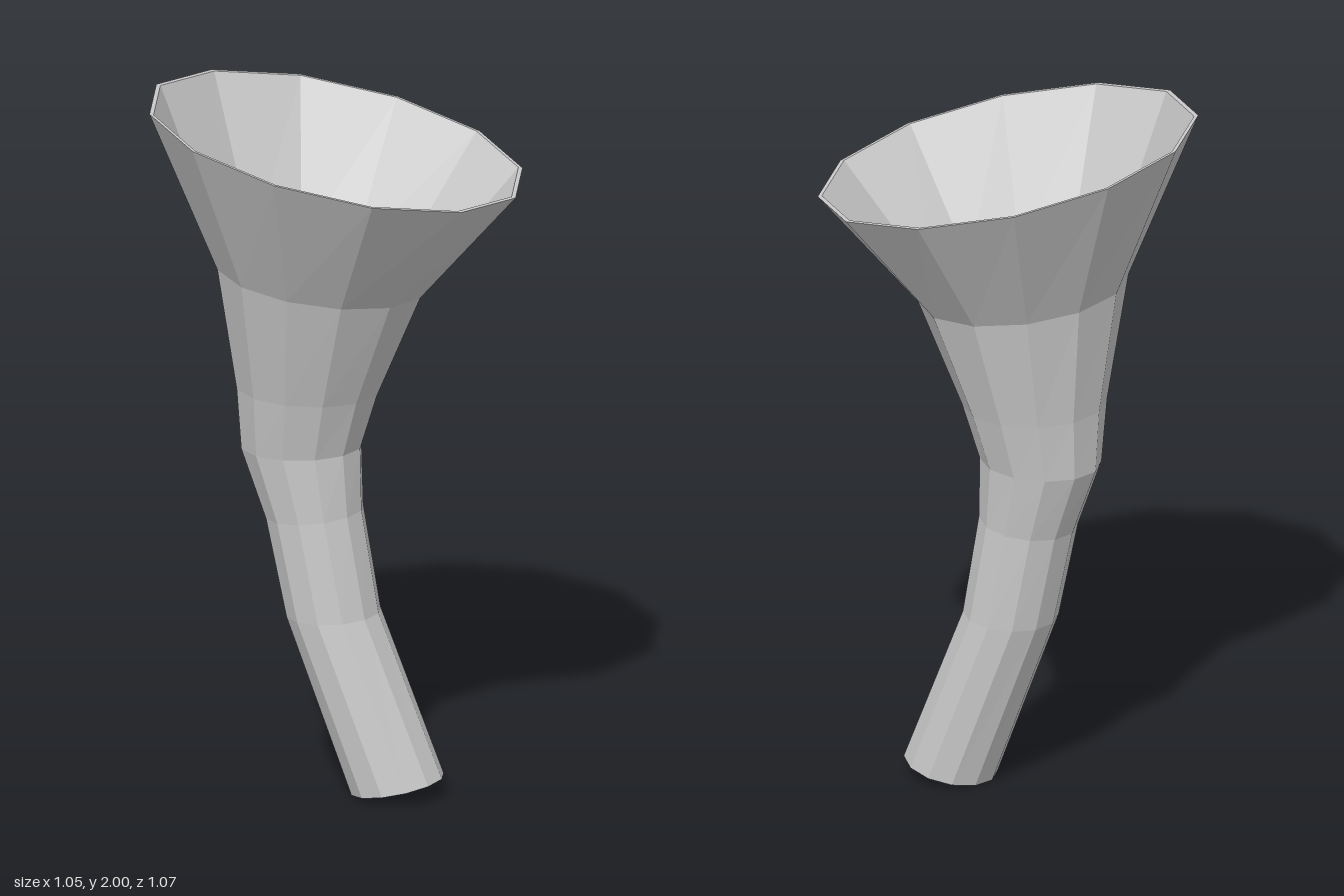
import * as THREE from 'three';

const SIDES = 12;

// Each ring: left x, left y, right x, right y, half width in z, centre z, tilt along z, wall
const RINGS = [
  [0.05, 0.005, 0.31, 0.06, 0.135, 0.005, 0, 0.005],
  [-0.14, 0.51, 0.125, 0.525, 0.137, 0.007, 0, 0.005],
  [-0.2, 0.79, 0.075, 0.82, 0.14, 0.008, 0, 0.005],
  [-0.275, 0.99, 0.07, 1.0, 0.16, 0.005, 0, 0.006],
  [-0.285, 1.17, 0.12, 1.16, 0.2, 0.007, 0.02, 0.007],
  [-0.335, 1.53, 0.25, 1.46, 0.295, 0.015, 0.04, 0.009],
  [-0.53, 2.0, 0.525, 1.775, 0.537, 0, 0.055, 0.012],
];

// Points of one tilted ring, optionally shrunk by the wall thickness
function ringPoints([lx, ly, rx, ry, rz, cz, tilt, wall], inner) {
  const s = inner ? 1 - wall / rz : 1;
  return Array.from({ length: SIDES }, (_, i) => {
    const a = (i / SIDES) * Math.PI * 2;
    const c = Math.cos(a) * s, d = Math.sin(a) * s * rz;
    return [
      (lx + rx) / 2 + (c * (rx - lx)) / 2,
      (ly + ry) / 2 + (c * (ry - ly)) / 2 + tilt * d,
      cz + d,
    ];
  });
}

export function createModel() {
  const group = new THREE.Group();
  group.name = 'bentHorn';

  // Up the outside, over the flared lip, down the inside and back to the foot
  const loops = [
    ...RINGS.map((r) => ringPoints(r, false)),
    ...[...RINGS].reverse().map((r) => ringPoints(r, true)),
  ];
  const positions = [], index = [];
  loops.forEach((loop, j) => {
    const next = (j + 1) % loops.length;
    loop.forEach((p, i) => {
      positions.push(...p);
      const k = (i + 1) % SIDES;
      const a = j * SIDES + i, b = next * SIDES + i;
      const c = next * SIDES + k, d = j * SIDES + k;
      index.push(a, b, d, b, c, d);
    });
  });

  const geometry = new THREE.BufferGeometry();
  geometry.setAttribute('position', new THREE.Float32BufferAttribute(positions, 3));
  geometry.setIndex(index);
  const faceted = geometry.toNonIndexed();
  faceted.computeVertexNormals();

  const horn = new THREE.Mesh(
    faceted,
    new THREE.MeshStandardMaterial({ color: 0xcccccc, flatShading: true })
  );
  horn.name = 'hornWall';
  group.add(horn);
  return group;
}
